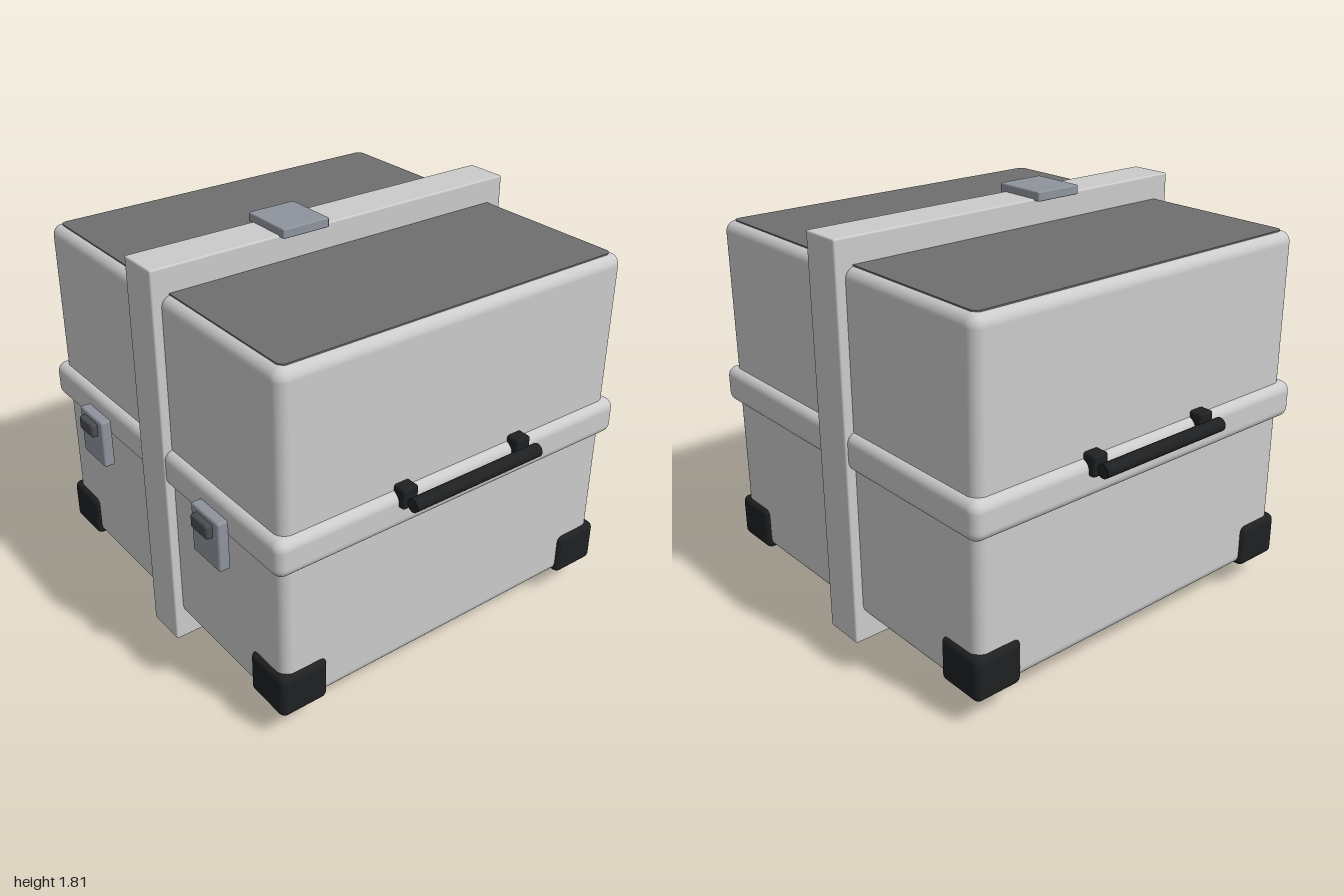
import * as THREE from 'three';
import { RoundedBoxGeometry } from 'three/addons/geometries/RoundedBoxGeometry.js';

const mat = (color) => new THREE.MeshStandardMaterial({ color });

export function createModel() {
  const root = new THREE.Group();
  const grey = mat(0xcccccc);
  const panelGrey = mat(0x6e6e6e);
  const steel = mat(0x8f949d);
  const darkSteel = mat(0x4a4c50);
  const black = mat(0x1e2022);
  const midZ = -0.035;

  // Rounded block given by its min and max corners
  function block(name, material, [x0, y0, z0], [x1, y1, z1], radius, segments = 4) {
    const geometry = new RoundedBoxGeometry(x1 - x0, y1 - y0, z1 - z0, segments, radius);
    const mesh = new THREE.Mesh(geometry, material);
    mesh.position.set((x0 + x1) / 2, (y0 + y1) / 2, (z0 + z1) / 2);
    mesh.name = name;
    root.add(mesh);
    return mesh;
  }

  // Same block on the left (+x) and the right (-x)
  function pair(name, material, a, b, radius, segments) {
    block(name + 'Left', material, a, b, radius, segments);
    block(name + 'Right', material, [-b[0], a[1], a[2]], [-a[0], b[1], b[2]], radius, segments);
  }

  // Case shell and rim, their halves rounded where they meet the strap
  pair('shell', grey, [0.06, 0.125, midZ - 0.868], [0.866, 1.658, midZ + 0.868], 0.05, 6);
  pair('rim', grey, [0.07, 0.813, midZ - 0.902], [0.9, 0.98, midZ + 0.905], 0.045, 6);

  // Dark top and bottom panels with rounded corners
  const w = 0.83, r = 0.03;
  const outline = new THREE.Shape();
  outline.moveTo(-w + r, -w);
  for (const [cx, cy, a] of [[w - r, -w + r, -0.5], [w - r, w - r, 0], [-w + r, w - r, 0.5], [-w + r, -w + r, 1]]) {
    outline.absarc(cx, cy, r, a * Math.PI, (a + 0.5) * Math.PI, false);
  }
  for (const [name, y] of [['topPanel', 1.656], ['bottomPanel', 0.121]]) {
    const geometry = new THREE.ExtrudeGeometry(outline, { depth: 0.006, bevelEnabled: false, curveSegments: 6 });
    geometry.rotateX(-Math.PI / 2);
    const panel = new THREE.Mesh(geometry, panelGrey);
    panel.name = name;
    panel.position.set(0, y, midZ);
    root.add(panel);
  }

  // Strap around the case and its buckle
  block('strap', grey, [-0.097, 0, -0.945], [0.097, 1.773, 0.873], 0.008, 2);
  block('buckle', steel, [-0.125, 1.765, 0.053], [0.125, 1.807, 0.28], 0.006, 2);

  // Bottom corner guards, front and back
  for (const [name, z0, z1] of [['frontCornerGuard', 0.625, 0.853], ['backCornerGuard', -0.921, -0.693]]) {
    pair(name, black, [0.655, 0.119, z0], [0.885, 0.32, z1], 0.03, 4);
  }

  // Front latches with release buttons
  pair('latchPlate', steel, [0.371, 0.68, 0.865], [0.567, 0.908, 0.916], 0.01, 2);
  pair('latchButton', darkSteel, [0.409, 0.822, 0.9], [0.529, 0.887, 0.945], 0.012, 2);

  // Side handles: two mounts and a round bar each
  for (const z of [-0.34, 0.264]) {
    pair('handleMount', black, [0.86, 0.915, z - 0.038], [0.927, 1.007, z + 0.038], 0.012, 3);
  }
  for (const side of [1, -1]) {
    const bar = new THREE.Mesh(new THREE.CylinderGeometry(0.03, 0.03, 0.67, 20), black);
    bar.name = side > 0 ? 'handleBarLeft' : 'handleBarRight';
    bar.rotation.x = Math.PI / 2;
    bar.position.set(side * 0.97, 0.962, -0.04);
    root.add(bar);
  }

  return root;
}
